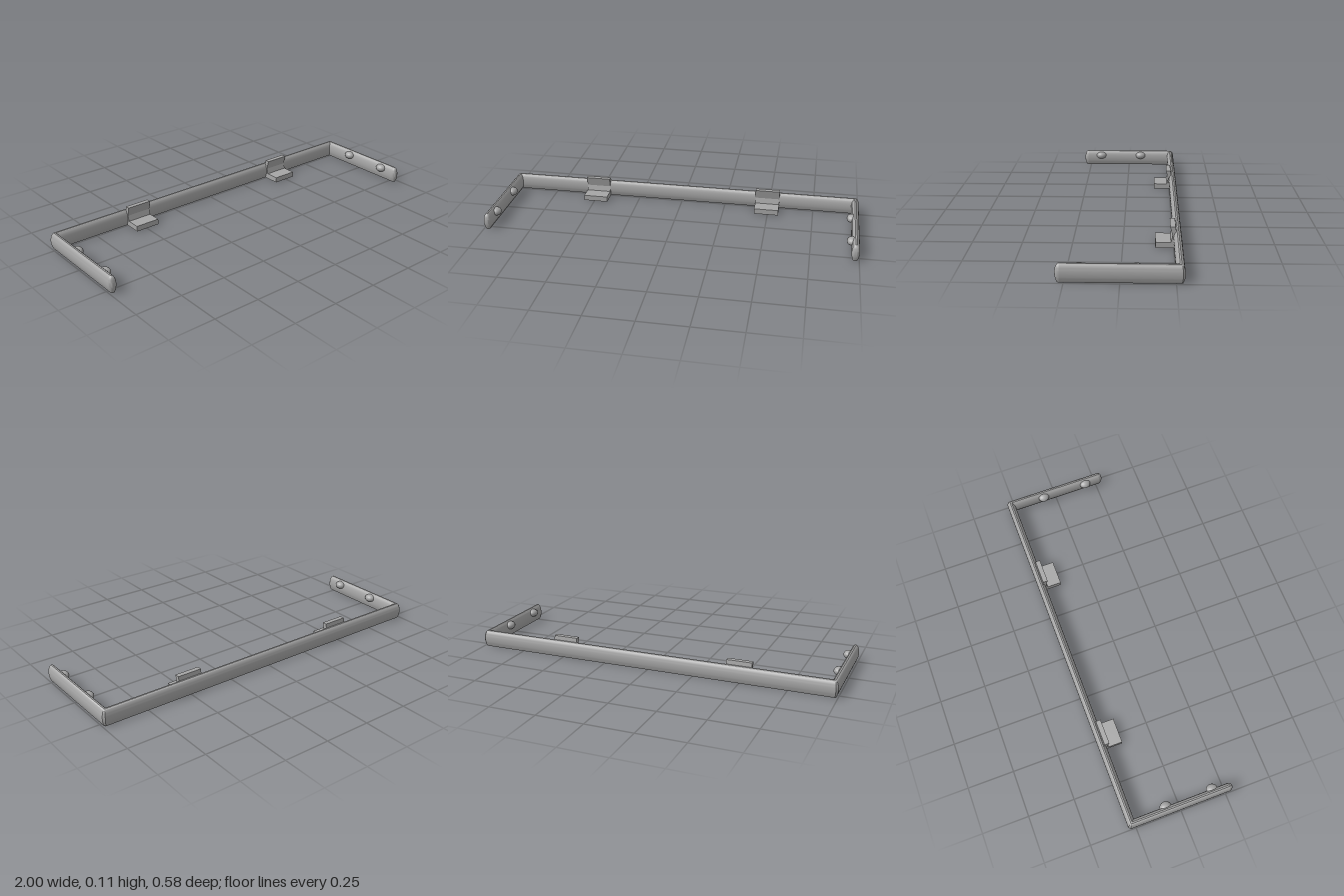
import * as THREE from 'three';
import { toCreasedNormals } from 'three/addons/utils/BufferGeometryUtils.js';

const X = 0.979; // centre line of the side arms
const Z = 0.269; // centre line of the back rail and of the arm ends

// Half of the rail section: flat underside, bulging side, rounded top
function halfProfile() {
  const side = new THREE.SplineCurve([
    [0.011, 0], [0.018, 0.018], [0.021, 0.042], [0.0185, 0.065], [0.012, 0.081], [0.004, 0.089],
  ].map(([d, y]) => new THREE.Vector2(d, y)));
  return side.getPoints(14);
}

// Sweep the section along the U, mitred inside and eased outside the corners
function railGeometry() {
  const half = halfProfile();
  const loop = [...half, ...half.map(p => new THREE.Vector2(-p.x, p.y)).reverse()];
  const ease = d => Math.max(0, d) * 0.5;
  const rings = [
    d => [X + d, Z],
    d => [X + d, -(Z + d - ease(d))],
    d => [X + d - ease(d), -(Z + d)],
  ];
  for (const ring of [...rings].reverse()) {
    rings.push(d => { const [x, z] = ring(d); return [-x, z]; });
  }
  const positions = [], index = [], n = loop.length;
  rings.forEach((ring, i) => loop.forEach((p, j) => {
    const [x, z] = ring(p.x);
    positions.push(x, p.y, z);
    if (i < rings.length - 1) {
      const a = i * n + j, b = i * n + (j + 1) % n;
      index.push(a, a + n, b, b, a + n, b + n);
    }
  }));
  const geometry = new THREE.BufferGeometry();
  geometry.setAttribute('position', new THREE.Float32BufferAttribute(positions, 3));
  geometry.setIndex(index);
  return toCreasedNormals(geometry, 0.6);
}

// Half-turned end of an arm
function endGeometry() {
  const points = [new THREE.Vector2(0, 0), ...halfProfile(), new THREE.Vector2(0, 0.089)];
  return toCreasedNormals(new THREE.LatheGeometry(points, 12, -Math.PI / 2, Math.PI), 0.6);
}

// L-shaped clip: a bent upright against the rail and a flat foot
function clipGeometry(width) {
  const shape = new THREE.Shape([
    [-0.16, 0], [-0.16, 0.03], [-0.236, 0.03], [-0.244, 0.06], [-0.232, 0.11],
    [-0.258, 0.11], [-0.266, 0.06], [-0.256, 0],
  ].map(([z, y]) => new THREE.Vector2(-z, y)));
  const geometry = new THREE.ExtrudeGeometry(shape, { depth: width, bevelEnabled: false });
  geometry.translate(0, 0, -width / 2);
  geometry.rotateY(Math.PI / 2); // shape x becomes -z
  return geometry;
}

export function createModel() {
  const model = new THREE.Group();
  model.name = 'railFrame';
  const grey = new THREE.MeshStandardMaterial({ color: 0xa6a6a6 });
  grey.name = 'grey';

  const add = (name, geometry, x = 0, y = 0, z = 0) => {
    const mesh = new THREE.Mesh(geometry, grey);
    mesh.name = name;
    mesh.position.set(x, y, z);
    model.add(mesh);
    return mesh;
  };

  add('rail', railGeometry());

  const end = endGeometry();
  const clip = clipGeometry(0.135);
  const stud = new THREE.SphereGeometry(1, 24, 16);
  for (const [side, s] of [['left', 1], ['right', -1]]) {
    add(side + 'ArmEnd', end, s * X, 0, Z);
    add(side + 'Clip', clip, s * 0.492);
    // Two domed studs on the inner face of each arm
    for (const z of [-0.075, 0.182]) {
      add(side + 'Stud', stud, s * 0.96, 0.062, z).scale.set(0.027, 0.022, 0.031);
    }
  }
  return model;
}
